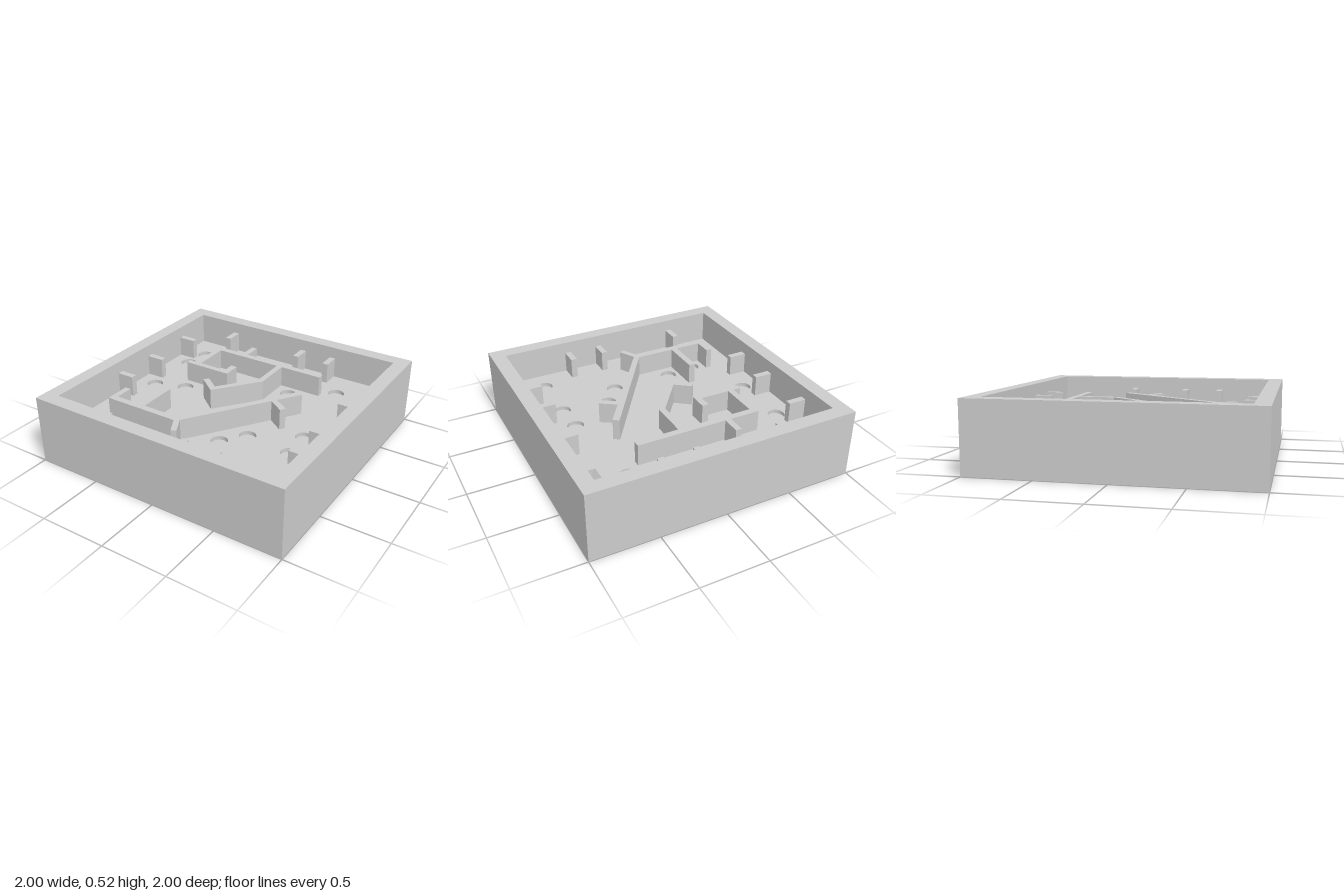
import * as THREE from 'three';

const INNER = 0.89, HEIGHT = 0.52, FLOOR = 0.27, WALL_TOP = 0.43;
const HOLE_BOTTOM = 0.24, PIT_BOTTOM = 0.03, HOLE_R = 0.062;
const PIT = [0.72, -0.77, INNER, -0.47]; // x0, z0, x1, z1

const material = new THREE.MeshStandardMaterial({ color: 0xcccccc });

// plan points are [x, z]
const plan = (pts) => pts.map(([x, z]) => new THREE.Vector2(x, -z));
const rect = (x0, z0, x1, z1) => plan([[x0, z0], [x0, z1], [x1, z1], [x1, z0]]);

function slab(name, outline, y0, y1, holes = []) {
  const shape = new THREE.Shape(outline);
  shape.holes = holes;
  const geo = new THREE.ExtrudeGeometry(shape, { depth: y1 - y0, bevelEnabled: false, curveSegments: 32 });
  geo.rotateX(-Math.PI / 2).translate(0, y0, 0);
  const mesh = new THREE.Mesh(geo, material);
  mesh.name = name;
  return mesh;
}

// ball traps in the floor
const HOLES = [
  [-0.71, -0.66], [-0.4, -0.715], [-0.11, -0.655], [0.27, -0.72], [0.55, -0.63],
  [-0.745, -0.457], [-0.56, -0.31], [-0.01, -0.425], [0.235, -0.425], [-0.505, -0.083],
  [-0.743, 0], [0.643, 0.077], [0.655, 0.313], [0.3, 0.275], [0.17, 0.44],
  [-0.54, 0.475], [-0.308, 0.44], [-0.235, 0.665], [-0.733, 0.72], [0.655, 0.714],
];

// branching maze walls
const BACK_WALL = [
  [-0.5, -0.57], [-0.27, -0.57], [-0.27, -0.71], [-0.225, -0.71], [-0.225, -0.57], [0.45, -0.57],
  [0.45, -0.52], [0.12, -0.52], [0.12, -0.23], [-0.135, 0.1], [-0.28, -0.015], [-0.25, -0.05],
  [-0.14, 0.035], [0.075, -0.24], [0.075, -0.52], [-0.455, -0.52], [-0.455, -0.235], [-0.23, -0.235],
  [-0.23, -0.33], [-0.18, -0.33], [-0.18, -0.19], [-0.56, -0.19], [-0.56, -0.235], [-0.5, -0.235],
];
const FRONT_WALL = [
  [-0.69, 0.41], [-0.645, 0.41], [-0.645, 0.55], [-0.445, 0.55], [-0.445, 0.25], [-0.395, 0.25],
  [-0.395, 0.55], [-0.1, 0.55], [0.43, -0.235], [0.47, -0.205], [0.355, -0.035], [0.47, 0.04],
  [0.445, 0.08], [0.33, 0], [-0.065, 0.575], [0, 0.7], [-0.035, 0.72], [-0.1, 0.6], [-0.69, 0.6],
];

export function createModel() {
  const model = new THREE.Group();
  model.name = 'tiltMaze';

  // tray built in layers
  const outer = rect(-1, -1, 1, 1);
  const pit = new THREE.Path(rect(...PIT));
  const traps = HOLES.map(([x, z]) => new THREE.Path().absarc(x, -z, HOLE_R, 0, Math.PI * 2));
  model.add(
    slab('trayBottom', outer, 0, PIT_BOTTOM),
    slab('trayBody', outer, PIT_BOTTOM, HOLE_BOTTOM, [pit]),
    slab('floorWithHoles', outer, HOLE_BOTTOM, FLOOR, [pit, ...traps]),
    slab('rim', outer, FLOOR, HEIGHT, [new THREE.Path(rect(-INNER, -INNER, INNER, INNER))]),
  );

  // sloped exit inside the pit, falling towards +x
  const wedge = new THREE.Shape([
    new THREE.Vector2(PIT[0], PIT_BOTTOM), new THREE.Vector2(PIT[2], PIT_BOTTOM), new THREE.Vector2(PIT[0], FLOOR),
  ]);
  const rampGeo = new THREE.ExtrudeGeometry(wedge, { depth: PIT[3] - PIT[1], bevelEnabled: false });
  rampGeo.translate(0, 0, PIT[1]);
  const ramp = new THREE.Mesh(rampGeo, material);
  ramp.name = 'exitRamp';
  model.add(ramp);

  // maze walls
  model.add(slab('backMazeWall', plan(BACK_WALL), FLOOR, WALL_TOP));
  model.add(slab('frontMazeWall', plan(FRONT_WALL), FLOOR, WALL_TOP));

  // short baffles along the rim
  const baffles = new THREE.Group();
  baffles.name = 'baffles';
  const t = 0.0235, reach = 0.755;
  const baffle = (...r) => baffles.add(slab('baffle', rect(...r), FLOOR, WALL_TOP));
  for (const z of [-0.57, -0.133, 0.235]) baffle(-INNER, z - t, -reach, z + t);
  for (const z of [-0.245, 0.195, 0.485]) baffle(reach - 0.005, z - t, INNER, z + t);
  for (const x of [-0.54, 0.115, 0.38]) {
    baffle(x - t, -INNER, x + t, -reach);
    baffle(x - t, reach, x + t, INNER);
  }
  model.add(baffles);

  return model;
}
